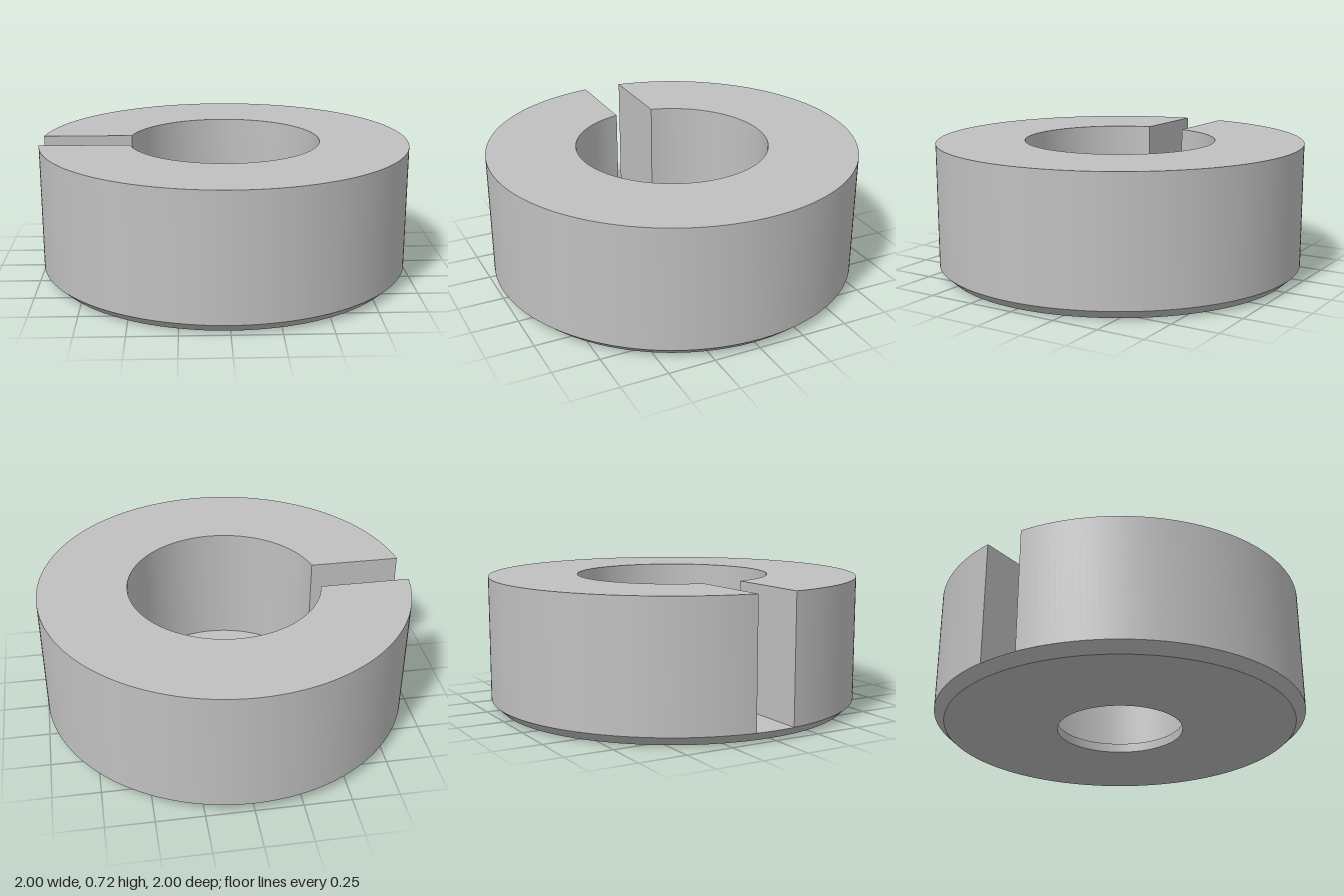
import * as THREE from 'three';
import { toCreasedNormals } from 'three/addons/utils/BufferGeometryUtils.js';

const OUTER = 1, POCKET = 0.52, BORE = 0.34, SLOT = 0.11;
const FLOOR = 0.05, HEIGHT = 0.717, FOOT = 0.946;
const SEGMENTS = 96;

export function createModel() {
  const group = new THREE.Group();
  const metal = new THREE.MeshStandardMaterial({ color: 0xc0c0c0 });
  metal.name = 'grey metal';

  const add = (name, geometry) => {
    const mesh = new THREE.Mesh(geometry, metal);
    mesh.name = name;
    group.add(mesh);
  };

  // Angles, measured from -x, where the slot meets the pocket and the rim
  const a = Math.asin(SLOT / POCKET);
  const b = Math.asin(SLOT / OUTER);

  // Slotted ring wall standing on the base
  const ring = new THREE.Shape();
  ring.absarc(0, 0, OUTER, b - Math.PI, Math.PI - b, false);
  ring.absarc(0, 0, POCKET, Math.PI - a, a - Math.PI, true);
  ring.closePath();
  let wall = new THREE.ExtrudeGeometry(ring, {
    depth: HEIGHT - FLOOR, bevelEnabled: false, curveSegments: SEGMENTS,
  });
  // Drop the lower lid, which would lie hidden against the base
  const skip = wall.groups[0].count / 2;
  for (const key of ['position', 'normal', 'uv']) {
    const { array, itemSize } = wall.attributes[key];
    wall.setAttribute(key, new THREE.BufferAttribute(array.slice(skip * itemSize), itemSize));
  }
  wall.clearGroups();
  wall = toCreasedNormals(wall, 0.5);
  wall.rotateX(-Math.PI / 2).translate(0, FLOOR, 0);
  add('slottedWall', wall);

  // Floor of the pocket and slot, pierced by the bore
  const floor = new THREE.Shape();
  floor.absarc(0, 0, POCKET, a - Math.PI, Math.PI - a, false);
  floor.absarc(0, 0, OUTER, Math.PI - b, Math.PI + b, false);
  floor.closePath();
  floor.holes.push(new THREE.Path().absarc(0, 0, BORE, 0, Math.PI * 2, true));
  add('pocketFloor', new THREE.ShapeGeometry(floor, SEGMENTS)
    .rotateX(-Math.PI / 2).translate(0, FLOOR, 0));

  // Base underside: bore wall, flat bottom and chamfered edge
  const profile = [[BORE, FLOOR], [BORE, 0], [FOOT, 0], [OUTER, FLOOR]]
    .map(([r, y]) => new THREE.Vector2(r, y));
  add('chamferedBase', toCreasedNormals(new THREE.LatheGeometry(profile, SEGMENTS), 0.5));

  return group;
}
